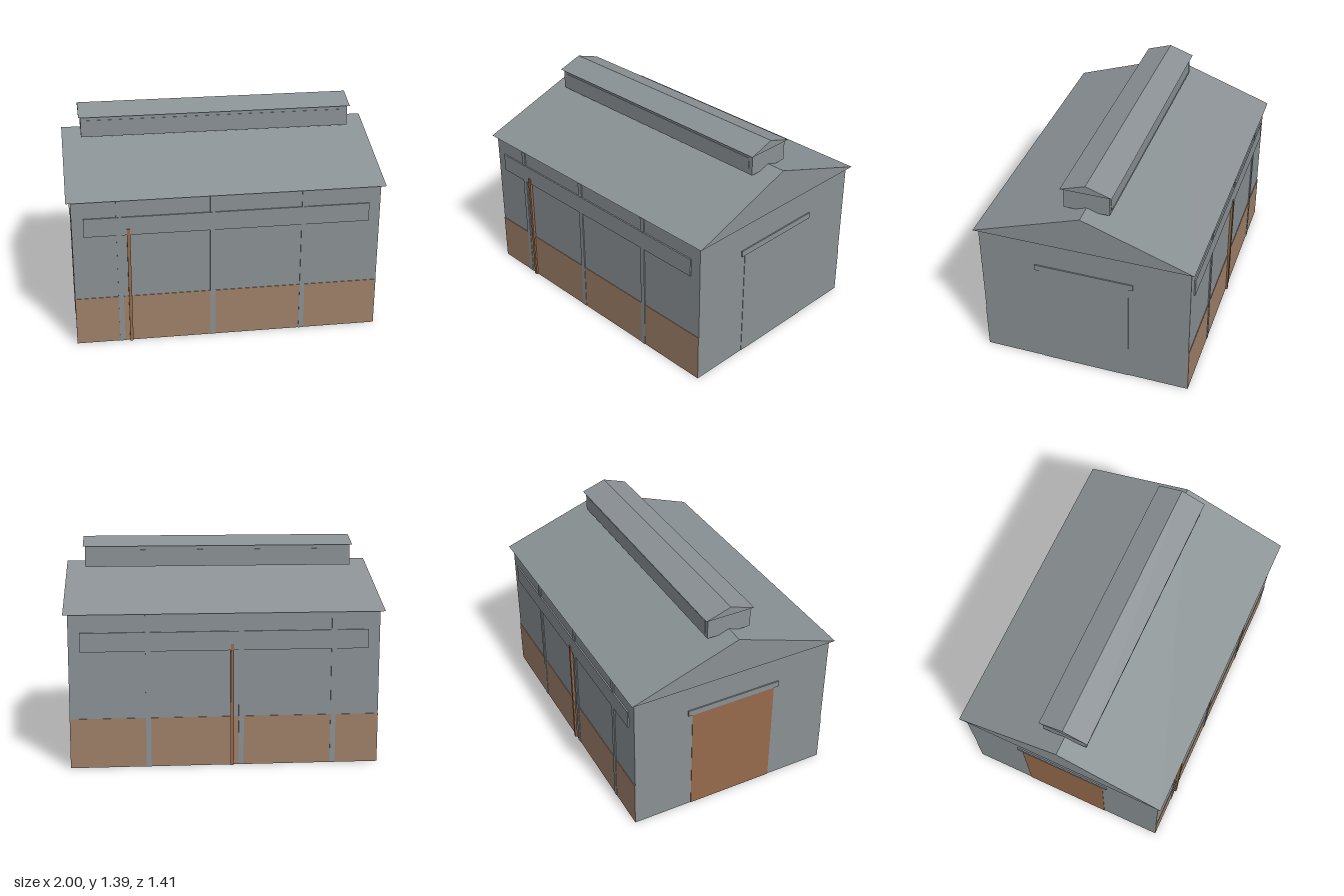
import * as THREE from 'three';

export function createModel() {
  const barn = new THREE.Group();
  barn.name = 'barn';

  const mat = (name, color) => {
    const m = new THREE.MeshStandardMaterial({ color });
    m.name = name;
    return m;
  };
  const grey = mat('metal grey', 0x8a9194);
  const tan = mat('wainscot tan', 0x9e8069);
  const brown = mat('wood brown', 0x966a4b);

  // Box given by its minimum and maximum corners
  const box = (name, m, x0, x1, y0, y1, z0, z1) => {
    const mesh = new THREE.Mesh(new THREE.BoxGeometry(x1 - x0, y1 - y0, z1 - z0), m);
    mesh.position.set((x0 + x1) / 2, (y0 + y1) / 2, (z0 + z1) / 2);
    mesh.name = name;
    barn.add(mesh);
  };

  // Solid gable prism running along x
  const gable = (name, halfX, halfZ, y0, y1) => {
    const shape = new THREE.Shape([
      new THREE.Vector2(-halfZ, y0),
      new THREE.Vector2(halfZ, y0),
      new THREE.Vector2(0, y1),
    ]);
    const geo = new THREE.ExtrudeGeometry(shape, { depth: 2 * halfX, bevelEnabled: false });
    geo.translate(0, 0, -halfX).rotateY(Math.PI / 2);
    const mesh = new THREE.Mesh(geo, grey);
    mesh.name = name;
    barn.add(mesh);
  };

  // Walls and roofs
  const wallX = 0.972, wallZ = 0.683;
  box('walls', grey, -wallX, wallX, 0, 0.975, -wallZ, wallZ);
  gable('mainRoof', 1, 0.707, 0.975, 1.225);
  box('roofMonitor', grey, -0.877, 0.877, 1.2, 1.336, -0.146, 0.146);
  gable('monitorRoof', 0.89, 0.163, 1.335, 1.39);

  // Thin plate on the front (side = 1) or back (side = -1) wall
  const sidePlate = (name, m, side, x0, x1, y0, y1, zIn, zOut) =>
    box(name, m, x0, x1, y0, y1, Math.min(side * zIn, side * zOut), Math.max(side * zIn, side * zOut));

  for (const side of [1, -1]) {
    sidePlate('wainscot', tan, side, -wallX, wallX, 0, 0.315, wallZ, 0.687);
    for (const x of [-0.683, -0.1, 0.482])
      sidePlate('pilaster', grey, side, x - 0.016, x + 0.016, 0, 0.975, wallZ, 0.69);
    sidePlate('wallBand', grey, side, -0.9, 0.9, 0.74, 0.86, wallZ, 0.692);
    sidePlate('monitorLouvre', grey, side, -0.85, 0.85, 1.22, 1.31, 0.146, 0.149);
    const postX = side > 0 ? -0.625 : -0.042;
    sidePlate('post', brown, side, postX - 0.01, postX + 0.01, 0, 0.78, wallZ, 0.699);
  }

  // Sliding doors and their header tracks on both ends
  box('rightDoor', grey, wallX, 0.975, 0, 0.75, -0.29, 0.29);
  box('leftDoor', brown, -0.975, -wallX, 0, 0.75, -0.29, 0.29);
  box('rightDoorHeader', grey, wallX, 0.98, 0.74, 0.78, -0.32, 0.32);
  box('leftDoorHeader', grey, -0.98, -wallX, 0.74, 0.78, -0.32, 0.32);

  return barn;
}
